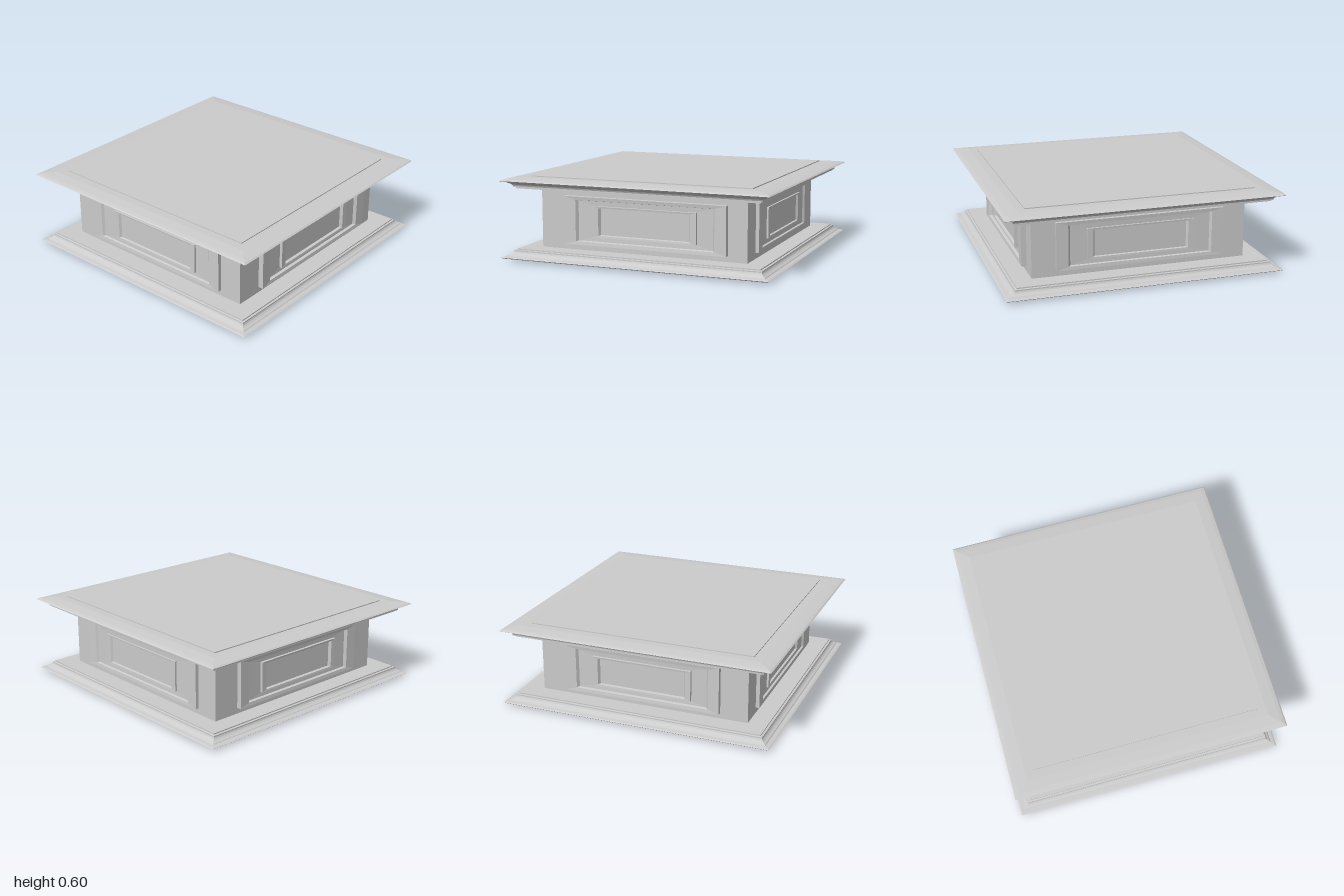
import * as THREE from 'three';

const material = new THREE.MeshStandardMaterial({ color: 0xcccccc, flatShading: true });

// Mitred rectangular loft: rings of [halfWidth, halfHeight, depth] along +z, capped at both ends
function rectLoft(rings) {
  const pos = [];
  const corners = ([w, h, d]) => [[-w, -h, d], [w, -h, d], [w, h, d], [-w, h, d]];
  const quad = (a, b, c, d) => pos.push(...a, ...b, ...c, ...a, ...c, ...d);
  for (let i = 0; i < rings.length - 1; i++) {
    const lo = corners(rings[i]), hi = corners(rings[i + 1]);
    for (let k = 0; k < 4; k++) {
      const n = (k + 1) % 4;
      quad(lo[k], lo[n], hi[n], hi[k]);
    }
  }
  const first = corners(rings[0]), last = corners(rings[rings.length - 1]);
  quad(first[3], first[2], first[1], first[0]);
  quad(...last);
  const geo = new THREE.BufferGeometry();
  geo.setAttribute('position', new THREE.Float32BufferAttribute(pos, 3));
  geo.computeVertexNormals();
  return geo;
}

function addMesh(parent, name, geometry) {
  const mesh = new THREE.Mesh(geometry, material);
  mesh.name = name;
  parent.add(mesh);
  return mesh;
}

// Square moulding standing upright, from [halfSize, y] points
function moulding(profile) {
  return rectLoft(profile.map(([s, y]) => [s, s, y])).rotateX(-Math.PI / 2);
}

// Raised panel: outer rim, recessed field, inner rim, sunken centre
function panel(halfWidth, halfHeight, depth) {
  const profile = [
    [1, 0], [1, 1], [0.86, 0.9], [0.835, 0.35], [0.64, 0.3],
    [0.64, 0.85], [0.57, 0.8], [0.55, 0.25],
  ];
  return rectLoft(profile.map(([s, d]) => [s * halfWidth, s * halfHeight, d * depth]));
}

export function createModel() {
  const model = new THREE.Group();
  model.name = 'plinth';

  // Moulded base, and the same profile turned over for the cornice
  const profile = [
    [0.89, 0], [0.965, 0.008], [0.99, 0.013], [1, 0.02], [0.99, 0.025], [0.965, 0.028],
    [0.96, 0.034], [0.945, 0.041], [0.935, 0.05], [0.93, 0.06], [0.93, 0.068],
    [0.915, 0.07], [0.915, 0.078],
  ];
  addMesh(model, 'baseMoulding', moulding(profile));
  const topY = 0.593;
  addMesh(model, 'topMoulding', moulding(profile.map(([s, y]) => [s, topY - y]).reverse()));

  // Central block
  const body = addMesh(model, 'body', new THREE.BoxGeometry(1.56, 0.46, 1.56));
  body.position.y = 0.296;

  // Thin slab on top
  const slab = addMesh(model, 'topSlab', new THREE.BoxGeometry(1.66, 0.02, 1.66));
  slab.position.y = 0.59;

  // One panel on each side: angle, half width, sideways offset, depth
  const sides = [
    ['frontPanel', 0, 0.61, 0.03, 0.038],
    ['rightPanel', Math.PI / 2, 0.61, 0, 0.025],
    ['backPanel', Math.PI, 0.58, 0, 0.035],
    ['leftPanel', -Math.PI / 2, 0.61, 0, 0.027],
  ];
  for (const [name, angle, halfWidth, offset, depth] of sides) {
    const side = new THREE.Group();
    side.rotation.y = angle;
    model.add(side);
    addMesh(side, name, panel(halfWidth, 0.173, depth)).position.set(offset, 0.293, 0.78);
  }
  return model;
}
